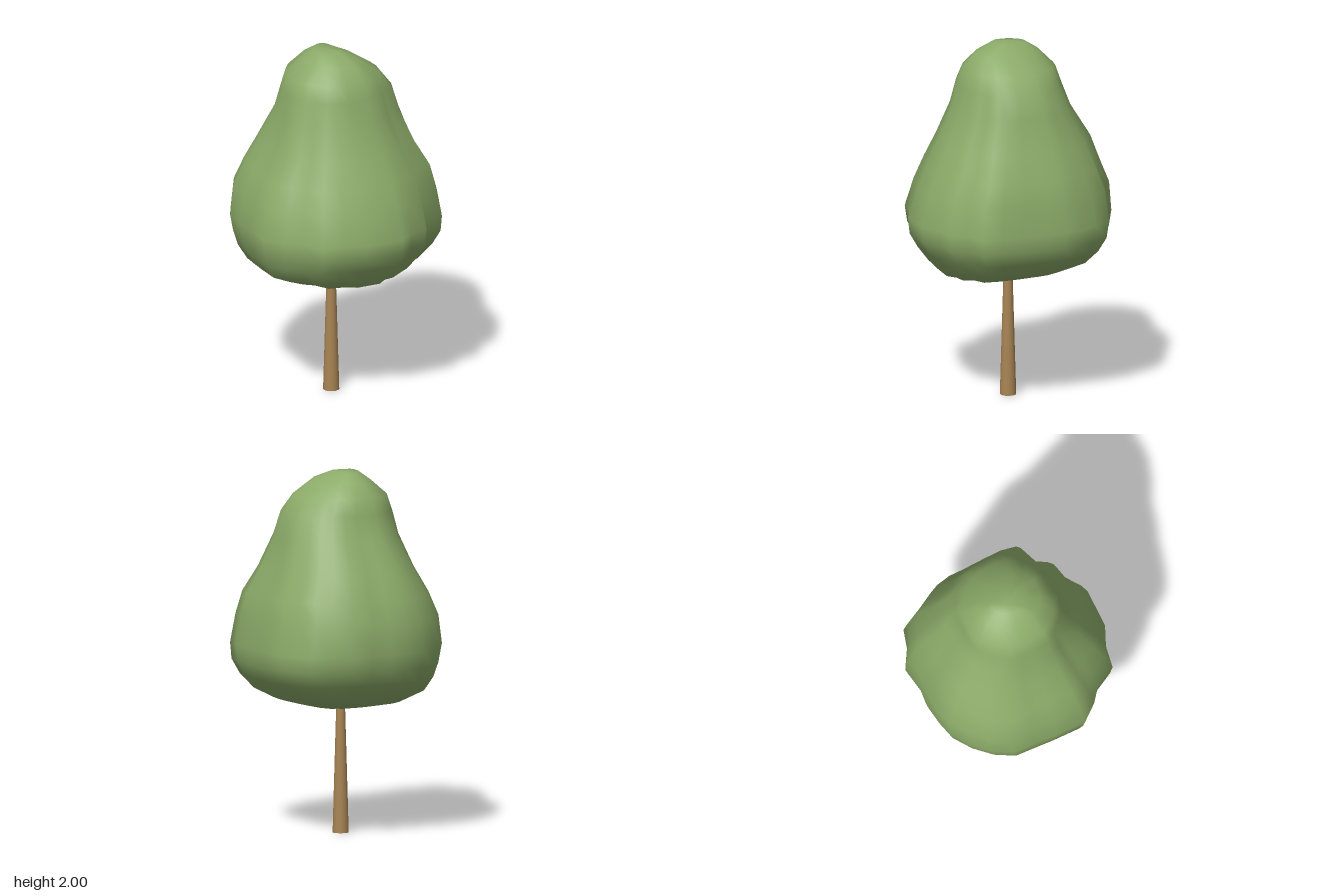
import * as THREE from 'three';

// Plan outline of the crown (x, z), clockwise seen from above
const PLAN = [
  [-0.21, -0.555], [-0.09, -0.555], [0.02, -0.545], [0.12, -0.525], [0.26, -0.55], [0.35, -0.46],
  [0.46, -0.42], [0.5, -0.31], [0.545, -0.2], [0.54, -0.1], [0.52, 0], [0.52, 0.14], [0.51, 0.28],
  [0.48, 0.39], [0.33, 0.41], [0.29, 0.5], [0.18, 0.5], [0.08, 0.555], [-0.14, 0.52], [-0.24, 0.45],
  [-0.36, 0.415], [-0.4, 0.28], [-0.48, 0.22], [-0.55, 0.12], [-0.51, -0.05], [-0.5, -0.18],
  [-0.49, -0.31], [-0.41, -0.41], [-0.32, -0.49],
];

// Crown cross-sections: height, then reach to -x, +x, -z, +z
const RINGS = [
  [1.995, 0.1, 0.04, 0.13, 0.04],
  [1.95, 0.16, 0.13, 0.2, 0.16],
  [1.87, 0.25, 0.25, 0.28, 0.23],
  [1.78, 0.28, 0.32, 0.3, 0.27],
  [1.65, 0.31, 0.36, 0.34, 0.3],
  [1.47, 0.38, 0.42, 0.44, 0.38],
  [1.33, 0.46, 0.49, 0.49, 0.45],
  [1.2, 0.51, 0.51, 0.55, 0.51],
  [1.04, 0.55, 0.54, 0.55, 0.555],
  [0.95, 0.54, 0.54, 0.53, 0.54],
  [0.87, 0.52, 0.5, 0.49, 0.49],
  [0.79, 0.47, 0.42, 0.43, 0.43],
  [0.735, 0.35, 0.3, 0.33, 0.38],
  [0.705, 0.2, 0.17, 0.18, 0.25],
];

function crownGeometry() {
  const n = PLAN.length;
  const positions = [];
  const index = [];
  RINGS.forEach(([y, left, right, back, front]) => {
    // The plan lumps fade to a rounder section towards the top
    const lumpy = THREE.MathUtils.clamp((1.95 - y) / 0.7, 0.1, 0.75);
    for (const [px, pz] of PLAN) {
      const u = px / 0.55, v = pz / 0.555;
      const angle = Math.atan2(v, u);
      const wobble = 1 + 0.018 * Math.sin(3 * angle + 7 * y) * Math.sin(5 * angle - 4 * y);
      const k = THREE.MathUtils.lerp(1 / Math.hypot(u, v), 1, lumpy) * wobble;
      positions.push(u * k * (u < 0 ? left : right), y, v * k * (v < 0 ? back : front));
    }
  });
  const top = RINGS.length * n, bottom = top + 1;
  positions.push(-0.03, 2, -0.05, 0, 0.72, -0.02);
  for (let j = 0; j < n; j++) {
    const next = (j + 1) % n;
    index.push(top, next, j);
    for (let i = 0; i < RINGS.length - 1; i++) {
      const a = i * n + j, b = i * n + next;
      index.push(a, b, a + n, b, b + n, a + n);
    }
    index.push(bottom, top - n + j, top - n + next);
  }
  const geometry = new THREE.BufferGeometry();
  geometry.setAttribute('position', new THREE.Float32BufferAttribute(positions, 3));
  geometry.setIndex(index);
  geometry.computeVertexNormals();
  return geometry;
}

export function createModel() {
  const leafGreen = new THREE.MeshStandardMaterial({ color: 0x8cab69 });
  leafGreen.name = 'leafGreen';
  const barkBrown = new THREE.MeshStandardMaterial({ color: 0xa88454 });
  barkBrown.name = 'barkBrown';

  const model = new THREE.Group();
  model.name = 'tree';

  // Leafy crown
  const crown = new THREE.Mesh(crownGeometry(), leafGreen);
  crown.name = 'crown';

  // Tapered trunk, ending just inside the crown
  const trunk = new THREE.Mesh(new THREE.CylinderGeometry(0.023, 0.045, 0.76, 16), barkBrown);
  trunk.name = 'trunk';
  trunk.position.set(0, 0.38, -0.023);

  model.add(crown, trunk);
  return model;
}
